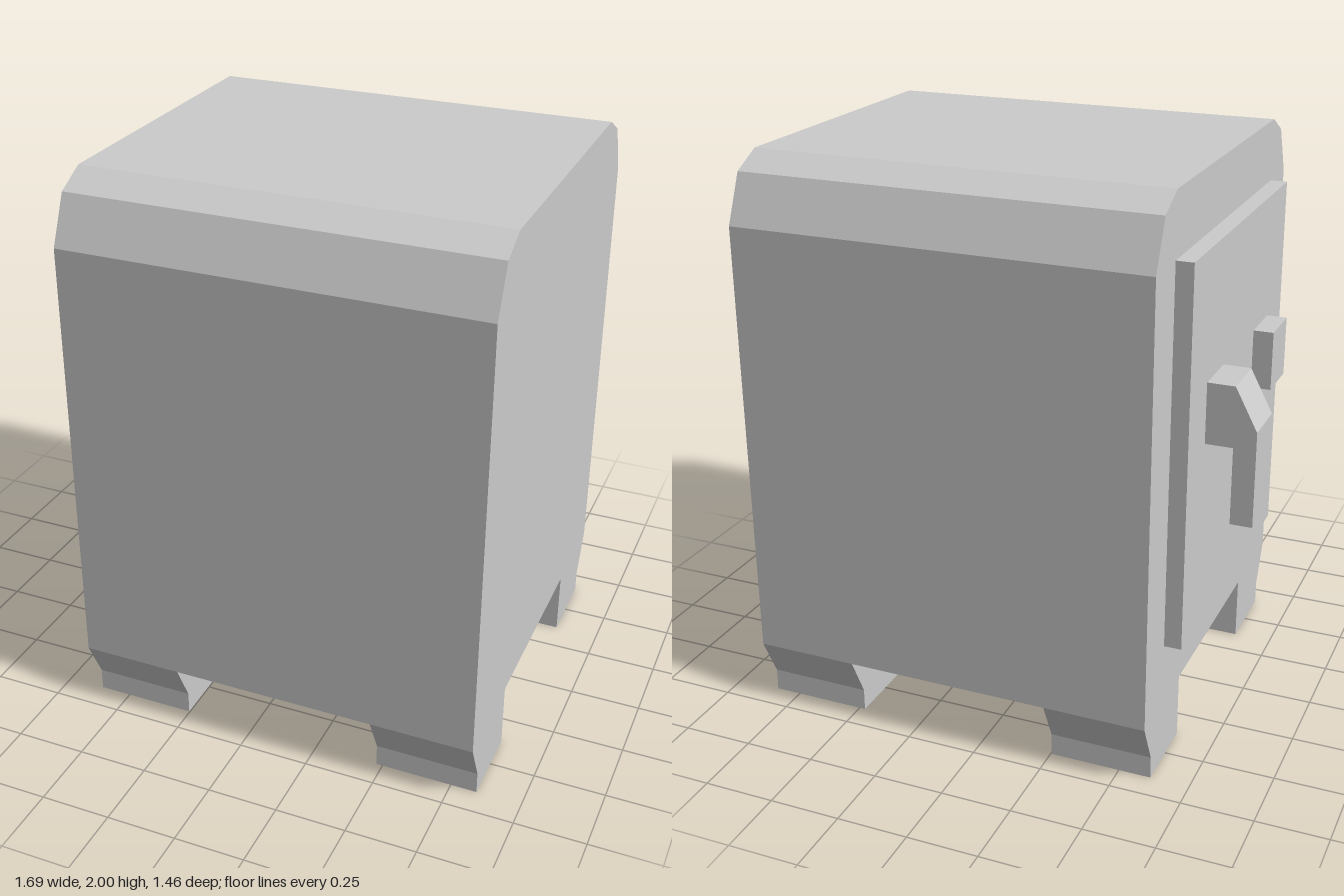
import * as THREE from 'three';

const material = new THREE.MeshStandardMaterial({ color: 0xcccccc, flatShading: true });

function extrude(points, depth) {
  const shape = new THREE.Shape(points.map(([x, y]) => new THREE.Vector2(x, y)));
  return new THREE.ExtrudeGeometry(shape, { depth, bevelEnabled: false });
}

// Profile of [z, y] points swept along x from x0 to x1
function sweepX(points, x0, x1) {
  const geometry = extrude(points.map(([z, y]) => [-z, y]), x1 - x0);
  return geometry.rotateY(Math.PI / 2).translate(x0, 0, 0);
}

// Box given by its limits on each axis
function boxBetween(x0, x1, y0, y1, z0, z1) {
  return new THREE.BoxGeometry(x1 - x0, y1 - y0, z1 - z0)
    .translate((x0 + x1) / 2, (y0 + y1) / 2, (z0 + z1) / 2);
}

export function createModel() {
  const model = new THREE.Group();
  model.name = 'safe';
  const add = (name, geometry) => {
    const mesh = new THREE.Mesh(geometry, material);
    mesh.name = name;
    model.add(mesh);
  };

  // Cabinet with chamfered top edges
  const half = [[0.728, 0.23], [0.728, 1.78], [0.655, 1.945], [0.548, 2]];
  const mirrored = half.map(([z, y]) => [-z, y]).reverse();
  add('cabinet', sweepX([...half, ...mirrored], -0.613, 0.842));

  // Four feet, tapered on their outer side
  const foot = [[0.368, 0], [0.655, 0], [0.655, 0.08], [0.728, 0.23], [0.368, 0.23]];
  for (const side of [1, -1]) {
    const profile = foot.map(([z, y]) => [z * side, y]);
    add('foot', sweepX(profile, -0.613, -0.253));
    add('foot', sweepX(profile, 0.478, 0.842));
  }

  // Door panel and lock block
  add('door', boxBetween(-0.673, -0.613, 0.45, 1.78, -0.547, 0.545));
  add('lock', boxBetween(-0.745, -0.673, 1.12, 1.333, 0.18, 0.36));

  // Hooked door handle
  const hook = [
    [-0.673, 1.333], [-0.768, 1.333], [-0.845, 1.185], [-0.845, 0.848],
    [-0.768, 0.848], [-0.768, 1.12], [-0.673, 1.12],
  ];
  add('handle', extrude(hook, 0.18).translate(0, 0, -0.367));

  return model;
}
